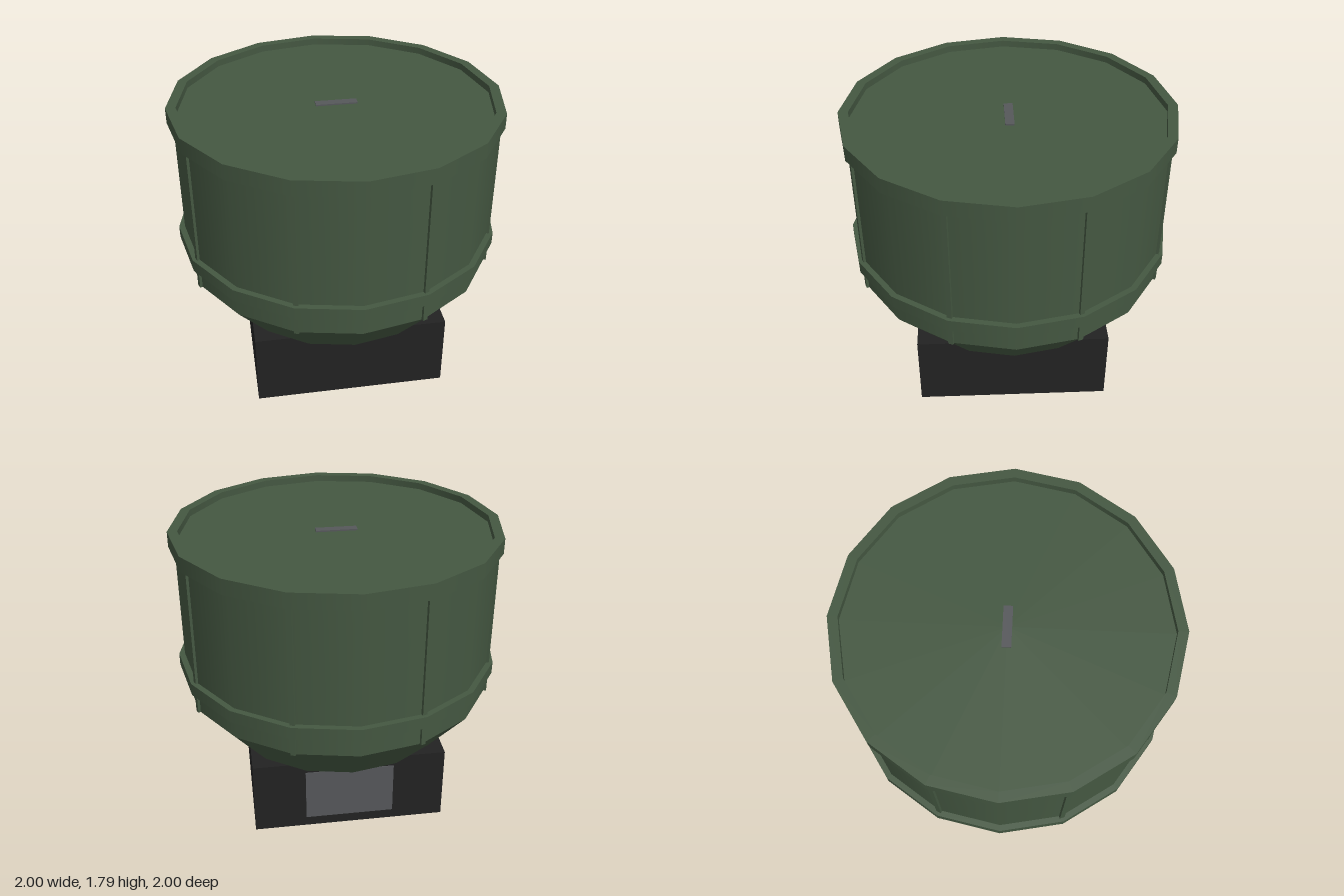
import * as THREE from 'three';

const SIDES = 16;

export function createModel() {
  const model = new THREE.Group();
  const green = new THREE.MeshStandardMaterial({ color: 0x445741, side: THREE.DoubleSide });
  green.name = 'olive green';
  const black = new THREE.MeshStandardMaterial({ color: 0x222222, side: THREE.DoubleSide });
  black.name = 'charcoal';
  const grey = new THREE.MeshStandardMaterial({ color: 0x55575a });
  grey.name = 'grey';

  function add(parent, name, geometry, material, x = 0, y = 0, z = 0) {
    const mesh = new THREE.Mesh(geometry, material);
    mesh.name = name;
    mesh.position.set(x, y, z);
    parent.add(mesh);
    return mesh;
  }

  // Open 16-sided wall between two heights
  function wall(parent, name, rTop, rBottom, yBottom, yTop) {
    const g = new THREE.CylinderGeometry(rTop, rBottom, yTop - yBottom, SIDES, 1, true);
    return add(parent, name, g, green, 0, (yBottom + yTop) / 2);
  }

  // Raised hoop with flat top and bottom edges
  function hoop(name, rInner, rOuter, yBottom, yTop) {
    const group = new THREE.Group();
    group.name = name;
    wall(group, name + 'Outside', rOuter, rOuter, yBottom, yTop);
    // reversed winding and normals so the inner wall faces the axis
    const inner = new THREE.CylinderGeometry(rInner, rInner, yTop - yBottom, SIDES, 1, true);
    inner.scale(-1, 1, 1);
    const n = inner.attributes.normal;
    for (let i = 0; i < n.count; i++) n.setXYZ(i, -n.getX(i), -n.getY(i), -n.getZ(i));
    add(group, name + 'Inside', inner, green, 0, (yBottom + yTop) / 2);
    for (const [part, y, turn] of [['Top', yTop, -1], ['Underside', yBottom, 1]]) {
      const ring = new THREE.RingGeometry(rInner, rOuter, SIDES, 1);
      ring.rotateX(turn * Math.PI / 2);
      add(group, name + part, ring, green, 0, y);
    }
    model.add(group);
  }

  // Drum body, funnel and recessed lid
  wall(model, 'drumWall', 0.964, 0.964, 0.773, 1.75);
  wall(model, 'funnel', 0.964, 0.72, 0.478, 0.773);
  add(model, 'lid', new THREE.CircleGeometry(0.964, SIDES).rotateX(-Math.PI / 2), green, 0, 1.75);

  // Top rim and lower band
  hoop('topRim', 0.94, 1, 1.697, 1.791);
  hoop('lowerBand', 0.95, 1, 0.898, 0.975);

  // Eight upright ribs
  const ribs = new THREE.Group();
  ribs.name = 'ribs';
  model.add(ribs);
  for (let i = 0; i < 8; i++) {
    const a = (i + 0.5) * Math.PI / 4;
    const r = 0.962;
    const rib = add(ribs, 'rib', new THREE.BoxGeometry(0.03, 0.965, 0.03), green,
      r * Math.sin(a), 1.2555, r * Math.cos(a));
    rib.rotation.y = a;
  }

  // Square base, open underneath (the downward face is left out)
  const base = new THREE.BoxGeometry(1.194, 0.478, 1.194);
  base.setIndex(Array.from(base.index.array).filter((_, i) => i < 18 || i >= 24));
  base.clearGroups();
  add(model, 'base', base, black, 0, 0.239);

  // Lid handle and rear panel
  add(model, 'lidHandle', new THREE.BoxGeometry(0.25, 0.009, 0.054), grey, 0, 1.754);
  add(model, 'rearPanel', new THREE.BoxGeometry(0.55, 0.345, 0.006), grey, 0, 0.238, -0.599);

  return model;
}
